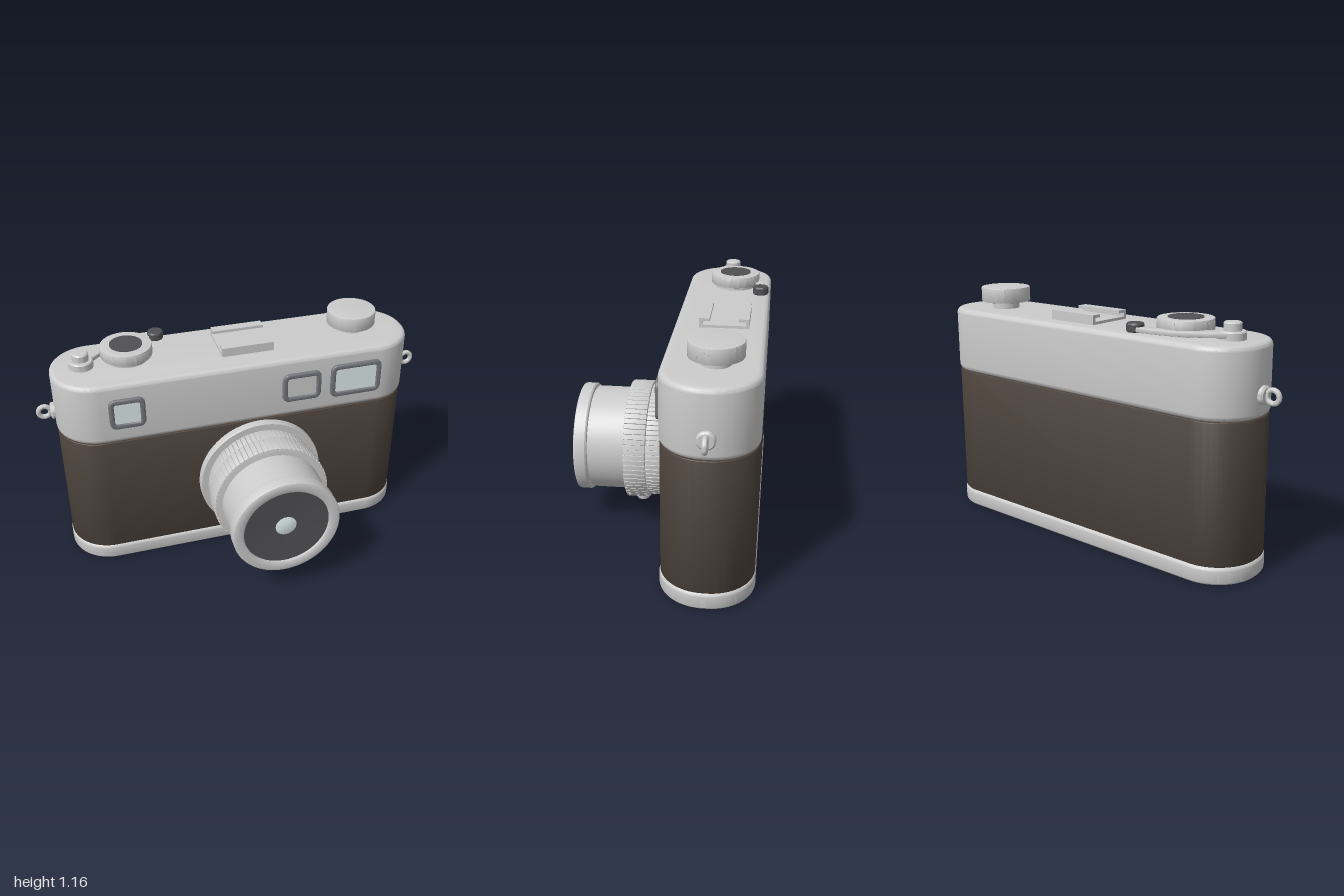
import * as THREE from 'three';
import { toCreasedNormals } from 'three/addons/utils/BufferGeometryUtils.js';

const mat = (color) => new THREE.MeshStandardMaterial({ color });
const metal = mat(0xcccccc), leather = mat(0x4c423b), dark = mat(0x505054);
const frameGrey = mat(0x74767a), glass = mat(0xdcebe9);

function add(parent, name, geometry, material = metal, x = 0, y = 0, z = 0) {
  const mesh = new THREE.Mesh(toCreasedNormals(geometry, 0.6), material);
  mesh.name = name;
  mesh.position.set(x, y, z);
  parent.add(mesh);
  return mesh;
}

// Rounded rectangle outline centred on the origin
function roundRect(w, h, r, Type = THREE.Shape) {
  const s = new Type(), a = w / 2 - r, b = h / 2 - r;
  s.absarc(a, b, r, 0, Math.PI / 2);
  s.absarc(-a, b, r, Math.PI / 2, Math.PI);
  s.absarc(-a, -b, r, Math.PI, Math.PI * 1.5);
  s.absarc(a, -b, r, Math.PI * 1.5, Math.PI * 2);
  s.closePath();
  return s;
}

// Upright slab with rounded corners and rounded edges, standing on y = 0
function slab(w, d, r, h, bevel) {
  const g = new THREE.ExtrudeGeometry(roundRect(w - 2 * bevel, d - 2 * bevel, r - bevel), {
    depth: h - 2 * bevel, bevelSize: bevel, bevelThickness: bevel, bevelSegments: 5, curveSegments: 20,
  });
  return g.translate(0, 0, bevel).rotateX(-Math.PI / 2);
}

// Turned part about the y axis from [radius, height] pairs
const turned = (pts, segments = 64) =>
  new THREE.LatheGeometry(pts.map(([r, y]) => new THREE.Vector2(r, y)), segments);

// Knurled ring or knob along +z
function knurled(r, depth, teeth, tooth, bevel) {
  const pts = [];
  for (let i = 0; i < teeth; i++) {
    [[0, r], [0.6, r], [0.7, r - tooth], [0.9, r - tooth]].forEach(([f, rad]) => {
      const a = ((i + f) / teeth) * Math.PI * 2;
      pts.push(new THREE.Vector2(Math.cos(a) * (rad - bevel), Math.sin(a) * (rad - bevel)));
    });
  }
  return new THREE.ExtrudeGeometry(new THREE.Shape(pts), {
    depth: depth - 2 * bevel, bevelSize: bevel, bevelThickness: bevel, bevelSegments: 2,
  }).translate(0, 0, bevel);
}

// Flat-topped outline extruded upward (shape y points to -z)
const upward = (shape, depth, bevel) => new THREE.ExtrudeGeometry(shape, {
  depth: depth - 2 * bevel, bevelSize: bevel, bevelThickness: bevel, bevelSegments: 2, curveSegments: 24,
}).translate(0, 0, bevel).rotateX(-Math.PI / 2);

function addWindow(parent, name, x, w, h, pane) {
  const g = new THREE.Group();
  g.name = name;
  g.position.set(x, 0.9, -0.02);
  const outline = roundRect(w - 0.012, h - 0.012, 0.028);
  outline.holes.push(roundRect(w - 0.038, h - 0.038, 0.018, THREE.Path));
  add(g, 'windowFrame', new THREE.ExtrudeGeometry(outline, {
    depth: 0.014, bevelSize: 0.006, bevelThickness: 0.006, bevelSegments: 3, curveSegments: 8,
  }), frameGrey);
  add(g, 'windowPane', new THREE.BoxGeometry(w - 0.04, h - 0.04, 0.01), pane, 0, 0, 0.007);
  parent.add(g);
}

export function createModel() {
  const model = new THREE.Group();
  model.name = 'camera';
  const zc = -0.235;

  // Body
  add(model, 'bottomPlate', slab(1.82, 0.44, 0.21, 0.085, 0.018), metal, 0, 0, zc);
  add(model, 'leatherBody', slab(1.812, 0.432, 0.206, 0.65, 0.004), leather, 0, 0.085, zc);
  add(model, 'topCover', slab(1.82, 0.44, 0.21, 0.32, 0.025), metal, 0, 0.735, zc);

  // Front windows
  addWindow(model, 'smallWindow', -0.583, 0.175, 0.16, glass);
  addWindow(model, 'rangefinderWindow', 0.292, 0.2, 0.155, metal);
  addWindow(model, 'viewfinderWindow', 0.578, 0.268, 0.18, glass);

  // Lens, pointing along +z
  const lens = new THREE.Group();
  lens.name = 'lens';
  lens.position.set(0.075, 0.41, 0);
  model.add(lens);
  const turnedZ = (pts) => turned(pts, 96).rotateX(Math.PI / 2);
  add(lens, 'lensFlange', turnedZ([[0, -0.03], [0.32, -0.03], [0.32, 0.016], [0.316, 0.02], [0, 0.02]]));
  add(lens, 'apertureRing', knurled(0.282, 0.085, 72, 0.006, 0.004), metal, 0, 0, 0.018);
  add(lens, 'focusRing', knurled(0.297, 0.108, 72, 0.007, 0.005), metal, 0, 0, 0.102);
  add(lens, 'lensBarrel', turnedZ([
    [0, 0.2], [0.258, 0.2], [0.258, 0.388], [0.25, 0.39], [0.25, 0.394], [0.266, 0.395], [0.271, 0.402],
    [0.271, 0.45], [0.268, 0.457], [0.26, 0.46], [0.225, 0.46], [0.217, 0.455], [0.215, 0.435], [0, 0.435],
  ]));
  add(lens, 'lensFace', turnedZ([[0, 0.43], [0.216, 0.43], [0.216, 0.445], [0.055, 0.437], [0, 0.437]]), dark);
  add(lens, 'frontElement', turnedZ([[0, 0.43], [0.053, 0.43], [0.053, 0.438], [0.03, 0.444], [0, 0.446]]), glass);
  add(lens, 'focusTab', turned([
    [0, -0.065], [0.022, -0.065], [0.03, -0.06], [0.034, -0.05], [0.034, -0.012], [0.028, 0], [0.02, 0.03], [0, 0.03],
  ], 32), metal, 0, -0.285, 0.156);

  // Strap lugs on both ends
  for (const side of [1, -1]) {
    const lug = new THREE.Group();
    lug.name = side > 0 ? 'leftStrapLug' : 'rightStrapLug';
    lug.position.set(0, 0.835, zc);
    model.add(lug);
    add(lug, 'lugBase', turned([[0, -0.02], [0.042, -0.02], [0.042, 0.014], [0.034, 0.022], [0, 0.022]], 32)
      .rotateZ(-side * Math.PI / 2), metal, side * 0.908);
    add(lug, 'lugRing', new THREE.TorusGeometry(0.029, 0.012, 12, 32), metal, side * 0.959);
  }

  // Accessory shoe with rails along x
  const shoe = new THREE.Group();
  shoe.name = 'accessoryShoe';
  shoe.position.set(0.05, 1.05, -0.252);
  model.add(shoe);
  add(shoe, 'shoePlate', new THREE.BoxGeometry(0.262, 0.018, 0.235), metal, 0, 0.009);
  for (const s of [1, -1]) {
    add(shoe, 'shoeRail', new THREE.BoxGeometry(0.262, 0.05, 0.016), metal, 0, 0.025, s * 0.1095);
    add(shoe, 'shoeLip', new THREE.BoxGeometry(0.262, 0.014, 0.05), metal, 0, 0.043, s * 0.0925);
  }

  // Rewind knob
  add(model, 'rewindNeck', new THREE.CylinderGeometry(0.066, 0.066, 0.06, 40), metal, 0.63, 1.07, -0.25);
  add(model, 'rewindKnob', knurled(0.123, 0.075, 40, 0.006, 0.006).rotateX(-Math.PI / 2), metal, 0.63, 1.09, -0.25);

  // Speed dial
  add(model, 'dialNeck', new THREE.CylinderGeometry(0.105, 0.105, 0.04, 48), metal, -0.53, 1.065, -0.265);
  add(model, 'speedDial', knurled(0.127, 0.056, 48, 0.006, 0.006).rotateX(-Math.PI / 2), metal, -0.53, 1.073, -0.265);
  add(model, 'dialCap', new THREE.CylinderGeometry(0.08, 0.08, 0.012, 48), dark, -0.53, 1.126, -0.265);

  // Shutter button
  add(model, 'shutterButton', turned([
    [0, 0], [0.06, 0], [0.06, 0.036], [0.055, 0.042], [0.04, 0.042], [0.04, 0.074], [0.034, 0.08], [0, 0.08],
  ], 40), metal, -0.755, 1.05, -0.24);

  // Wind lever with dark tip
  const arm = new THREE.Shape();
  arm.moveTo(-0.8, 0.265);
  arm.lineTo(-0.71, 0.24);
  arm.quadraticCurveTo(-0.58, 0.385, -0.37, 0.39);
  arm.lineTo(-0.37, 0.43);
  arm.quadraticCurveTo(-0.6, 0.44, -0.8, 0.265);
  add(model, 'windLever', upward(arm, 0.022, 0.004), metal, 0, 1.066, 0);
  add(model, 'leverTip', turned([
    [0, 0], [0.036, 0], [0.04, 0.005], [0.04, 0.033], [0.035, 0.04], [0, 0.04],
  ], 32), dark, -0.36, 1.064, -0.405);

  return model;
}
